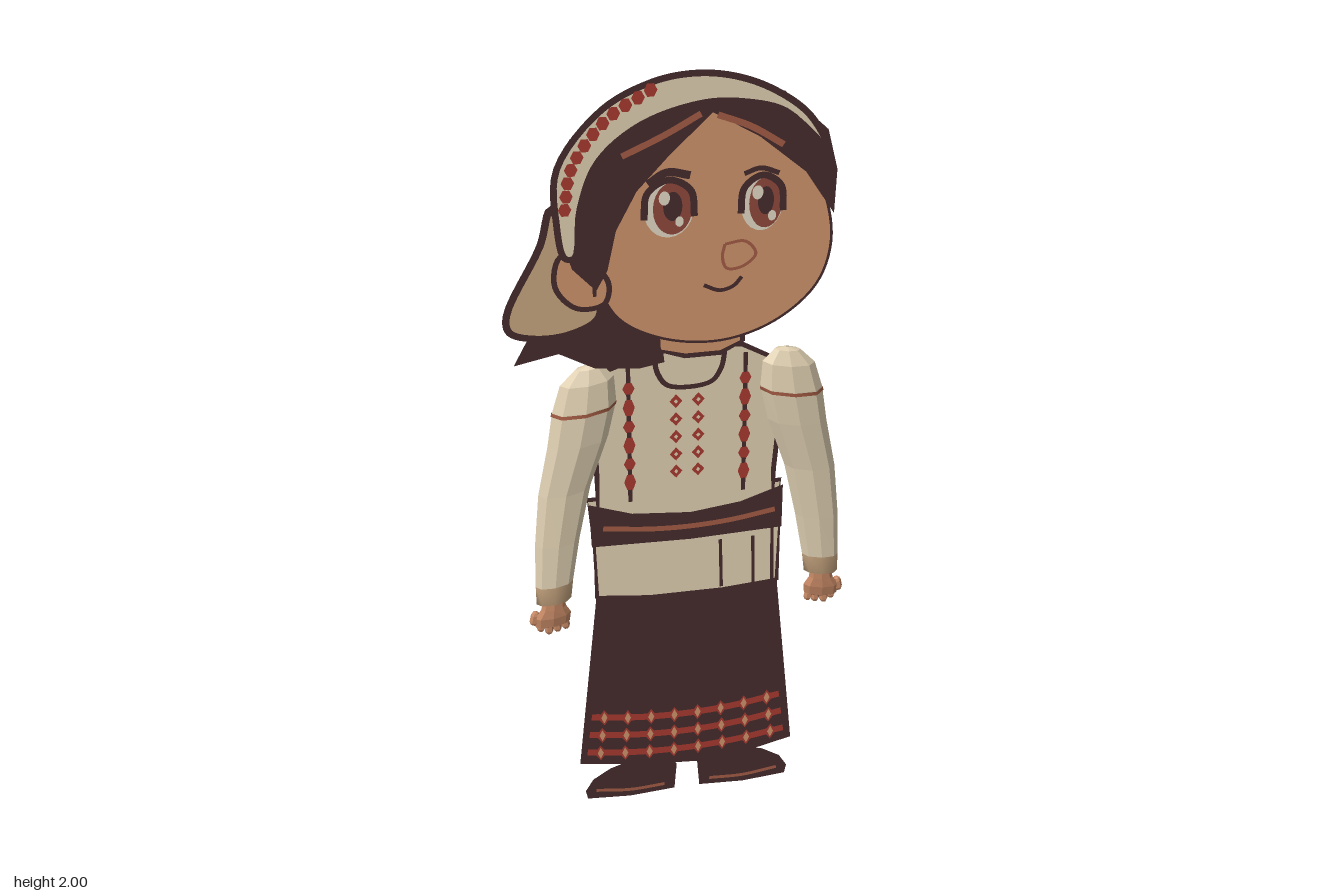
import * as THREE from 'three';

const mat = (name, color, extra = {}) => {
  const m = new THREE.MeshStandardMaterial({ color, side: THREE.DoubleSide, ...extra });
  m.name = name;
  return m;
};

export function createModel() {
  const cream = mat('cream linen', 0xe0d0b2), skin = mat('skin', 0xd0946c), dark = mat('dark brown', 0x452b2d);
  const red = mat('red thread', 0xa83a30), tan = mat('tan scarf', 0xc8a680), white = mat('eye white', 0xe4d9c4);
  const iris = mat('iris brown', 0x90483c), rust = mat('rust trim', 0xa45c44);
  const linen = mat('sleeve linen', 0xe0d0b2, { flatShading: true });
  const handSkin = mat('hand skin', 0xc88a66, { flatShading: true });

  const model = new THREE.Group();
  // Upright paper-thin layers; depth z is given in thousandths
  const flat = new THREE.Group();
  flat.name = 'flatFigure';
  model.add(flat);

  const add = (name, geo, material, depth = 0, parent = flat) => {
    const m = new THREE.Mesh(geo, material);
    m.name = name;
    m.position.z = depth / 1000;
    parent.add(m);
    return m;
  };
  // Points, optionally rounded by a spline
  const trace = (pts, smooth, closed) => {
    if (!smooth) return pts.map(p => new THREE.Vector2(...p));
    const c = new THREE.CatmullRomCurve3(pts.map(p => new THREE.Vector3(p[0], p[1], 0)), closed, 'centripetal');
    const out = c.getPoints(pts.length * 6).map(p => new THREE.Vector2(p.x, p.y));
    if (closed) out.pop();
    return out;
  };
  const meshGeo = (pos, idx) => {
    const g = new THREE.BufferGeometry();
    g.setAttribute('position', new THREE.Float32BufferAttribute(pos, 3));
    g.setIndex(idx);
    g.computeVertexNormals();
    return g;
  };
  const ribbonGeo = (p, width, closed) => {
    const pos = [], idx = [], n = p.length;
    p.forEach((q, i) => {
      const a = closed ? p[(i + n - 1) % n] : p[Math.max(i - 1, 0)];
      const b = closed ? p[(i + 1) % n] : p[Math.min(i + 1, n - 1)];
      const t = b.clone().sub(a).normalize().multiplyScalar(width / 2);
      pos.push(q.x + t.y, q.y - t.x, 0, q.x - t.y, q.y + t.x, 0);
      if (i < n - 1 || closed) {
        const k = 2 * i, l = 2 * ((i + 1) % n);
        idx.push(k, l, k + 1, k + 1, l, l + 1);
      }
    });
    // Outlines run either way round, so keep every ribbon facing +z
    if (closed && THREE.ShapeUtils.area(p) < 0) p.area = -1;
    return meshGeo(pos, idx);
  };
  const line = (name, pts, width, material, depth) => add(name, ribbonGeo(trace(pts, pts.length > 2, false), width, false), material, depth);
  // Flat plate with an optional dark outline
  const plate = (name, pts, material, depth, { smooth = true, edge = 0.012 } = {}) => {
    const p = trace(pts, smooth, true);
    add(name, new THREE.ShapeGeometry(new THREE.Shape(p)), material, depth);
    if (edge) add(name + 'Outline', ribbonGeo(p, edge, true), dark, depth + 0.6);
  };
  const oval = (name, x, y, rx, ry, material, depth, sides = 24) => {
    const m = add(name, new THREE.CircleGeometry(1, sides), material, depth);
    m.scale.set(rx, ry, 1);
    m.position.x = x;
    m.position.y = y;
  };
  const hard = { smooth: false }, hardBare = { smooth: false, edge: 0 };

  // Back hair with a notch for the neck, and side ponytail
  plate('backHair', [[.27, 1.78], [-.19, 1.81], [-.24, 1.85], [-.23, 1.78], [-.24, 1.6], [-.28, 1.45], [-.345, 1.4], [-.38, 1.335],
    [-.28, 1.355], [-.2, 1.31], [-.1, 1.3], [-.045, 1.31], [-.05, 1.36], [-.065, 1.53], [.12, 1.58], [.145, 1.39], [.25, 1.46]], dark, -6, hardBare);
  plate('neck', [[-.07, 1.58], [.14, 1.6], [.13, 1.35], [.08, 1.325], [0, 1.325], [-.06, 1.345]], skin, 1, hard);

  // Head
  plate('face', [[.3, 1.7], [.32, 1.58], [.29, 1.48], [.2, 1.4], [.08, 1.363], [-.05, 1.38], [-.15, 1.44], [-.2, 1.55], [-.235, 1.7],
    [-.21, 1.82], [-.11, 1.905], [.01, 1.93], [.13, 1.91], [.24, 1.83]], skin, 13, { edge: 0.006 });
  plate('hairLeftOfParting', [[.05, 1.905], [-.04, 1.82], [-.11, 1.745], [-.155, 1.66], [-.175, 1.57], [-.2, 1.525], [-.25, 1.58],
    [-.285, 1.7], [-.265, 1.83], [-.18, 1.92], [-.05, 1.965], [.05, 1.955]], dark, 43, hardBare);
  plate('hairRightOfParting', [[.05, 1.905], [.15, 1.845], [.25, 1.76], [.315, 1.66], [.318, 1.76], [.295, 1.85], [.2, 1.94], [.05, 1.965]], dark, 43, hardBare);
  line('hairStrandRight', [[-.14, 1.825], [-.05, 1.865], [.025, 1.905]], .014, rust, 45);
  line('hairStrandLeft', [[.06, 1.9], [.13, 1.87], [.2, 1.825]], .014, rust, 45);

  // Headscarf band, beads and hanging tail
  plate('scarfTail', [[-.285, 1.7], [-.31, 1.62], [-.39, 1.46], [-.385, 1.42], [-.33, 1.4], [-.25, 1.405], [-.19, 1.44], [-.2, 1.55], [-.25, 1.62]], tan, -2, { edge: 0.016 });
  plate('scarfBand', [[-.28, 1.69], [-.275, 1.81], [-.18, 1.93], [-.08, 1.98], [0, 1.993], [.08, 1.985], [.165, 1.953], [.25, 1.89], [.295, 1.81],
    [.2, 1.9], [.12, 1.925], [.03, 1.93], [-.1, 1.893], [-.19, 1.82], [-.23, 1.72], [-.245, 1.61], [-.265, 1.61]], cream, 50, { edge: 0.014 });
  const beadPath = new THREE.CatmullRomCurve3([[-.262, 1.72], [-.245, 1.81], [-.17, 1.91], [-.08, 1.965]].map(p => new THREE.Vector3(...p, 0)));
  beadPath.getSpacedPoints(11).forEach(p => oval('scarfBead', p.x, p.y, .014, .016, red, 52, 6));
  plate('ear', [[-.27, 1.6], [-.285, 1.53], [-.24, 1.475], [-.18, 1.48], [-.17, 1.53], [-.21, 1.58]], skin, 18);
  line('earFold', [[-.24, 1.57], [-.205, 1.54], [-.2, 1.5]], .008, dark, 20);

  // Eyes, brows, nose and mouth
  [[-.04, 1.695, .054, .066], [.16, 1.692, .046, .064]].forEach(([x, y, rx, ry]) => {
    oval('eyeWhite', x, y, rx, ry, white, 30);
    oval('iris', x + .008, y, rx * .78, ry * .9, iris, 31);
    oval('pupil', x + .008, y + .005, rx * .38, ry * .5, dark, 32);
    oval('eyeGlint', x - .01, y + .025, .012, .016, white, 33);
    oval('eyeGlint', x + .022, y - .03, .009, .012, white, 33);
    line('lash', [[x - rx, y - .02], [x - rx * .85, y + ry * .6], [x, y + ry], [x + rx * .85, y + ry * .6], [x + rx, y - .02]], .015, dark, 34);
  });
  line('browRight', [[-.085, 1.755], [-.045, 1.778], [.005, 1.768]], .018, dark, 34);
  line('browLeft', [[.12, 1.762], [.155, 1.772], [.195, 1.758]], .011, dark, 34);
  line('nose', [[.08, 1.605], [.125, 1.608], [.148, 1.577], [.12, 1.55], [.085, 1.548], [.075, 1.575], [.08, 1.605]], .007, rust, 35);
  line('mouth', [[.035, 1.512], [.07, 1.497], [.1, 1.505], [.118, 1.525]], .009, dark, 35);

  // Blouse with embroidery
  plate('blouse', [[-.17, 1.285], [-.06, 1.325], [.1, 1.325], [.14, 1.32], [.2, 1.285], [.235, 1.18], [.22, .98], [.22, .87], [-.2, .87], [-.2, 1], [-.205, 1.18]], cream, -36, hard);
  line('collar', [[-.065, 1.32], [-.055, 1.265], [-.03, 1.232], [.065, 1.232], [.09, 1.265], [.1, 1.325]], .012, dark, -34);
  [-.123, .147].forEach(x => {
    line('embroideryCord', [[x, 1.3], [x, .93]], .01, dark, -34);
    for (let i = 0; i < 6; i++) oval('embroideryBead', x, 1.235 - i * .05, .014, i % 2 ? .024 : .017, red, -33, 6);
  });
  for (let i = 0; i < 5; i++) [-.014, .038].forEach(x => {
    oval('chestStitch', x, 1.19 - i * .047, .015, .018, red, -34, 4);
    oval('chestStitchCentre', x, 1.19 - i * .047, .005, .006, cream, -33, 4);
  });

  // Skirt, apron and belt
  plate('skirt', [[-.215, .85], [-.1, .885], [.1, .885], [.235, .85], [.24, .64], [.29, .135], [.17, .105], [.05, .092], [-.1, .105], [-.265, .135], [-.21, .65]], dark, -45, hardBare);
  plate('apron', [[-.21, .83], [.24, .83], [.238, .652], [.1, .64], [-.08, .642], [-.208, .66]], cream, -42, hard);
  [[.095, .79], [.175, .79], [.222, .81]].forEach(([x, y]) => line('apronFold', [[x, y], [x + .004, .65]], .008, dark, -41));
  plate('belt', [[-.222, .935], [-.12, .898], [.02, .885], [.14, .9], [.243, .935], [.243, .815], [.02, .808], [-.218, .815]], dark, -31, hardBare);
  line('beltTrim', [[-.19, .865], [-.08, .85], [.02, .846], [.12, .852], [.225, .868]], .014, rust, -30);
  plate('waistBack', [[-.222, .935], [.02, .925], [.243, .935], [.235, .865], [.12, .885], [-.1, .885], [-.215, .865]], cream, -54, hard);
  [[.285, .243], [.228, .25], [.17, .257]].forEach(([y, w]) => {
    const sag = u => y - .025 * (1 - u * u);
    line('hemStripe', [-1, -.5, 0, .5, 1].map(u => [.012 + u * w, sag(u)]), .02, red, -44);
    for (let i = 0; i < 8; i++) {
      const u = -.87 + i * .248;
      oval('hemDiamond', .012 + u * w, sag(u), .016, .025, red, -43, 4);
      oval('hemStitch', .012 + u * w, sag(u), .008, .018, skin, -42.5, 4);
    }
  });

  // Trousers behind the skirt, and shoes
  plate('shinLeft', [[.05, .42], [.17, .42], [.17, .12], [.06, .1]], cream, -51, hard);
  plate('legLeft', [[.035, .83], [.12, .85], [.205, .83], [.208, .4], [.18, .355], [.12, .335], [.06, .355], [.04, .4]], cream, -53, hard);
  plate('legRight', [[-.005, .83], [-.09, .85], [-.175, .83], [-.17, .6], [-.155, .38], [-.15, .1], [-.02, .1], [-.015, .4]], cream, -53, hard);
  [-1, 1].forEach(s => {
    const f = pts => pts.map(([x, y]) => [.015 + s * x, y]);
    plate('shoe', f([[.035, .01], [.03, .09], [.06, .12], [.14, .12], [.2, .1], [.245, .07], [.265, .035], [.262, .012], [.15, .003]]), dark, -49, { smooth: false, edge: .006 });
    line('shoeWelt', f([[.06, .026], [.15, .022], [.24, .034]]), .01, rust, -48);
  });

  // Sleeves and hands, from flattened eight-sided rings: [y, x, rx, rz, z]
  const loft = (rings, s) => {
    const pos = [], idx = [], n = 8;
    rings.forEach(([y, x, rx, rz, z], j) => {
      for (let i = 0; i < n; i++) {
        const a = i / n * Math.PI * 2, c = Math.cos(a) * rx;
        pos.push(.0125 + s * x + c, y + s * c * -.12, z + Math.sin(a) * rz);
        if (j < rings.length - 1) {
          const k = j * n + i, l = j * n + (i + 1) % n;
          idx.push(k, l, k + n, l, l + n, k + n);
        }
      }
    });
    return meshGeo(pos, idx);
  };
  [1, -1].forEach(s => {
    const arm = new THREE.Group();
    arm.name = s > 0 ? 'leftArm' : 'rightArm';
    model.add(arm);
    add('sleeve', loft([[1.314, .227, .004, .003, -.018], [1.308, .227, .03, .014, -.018], [1.275, .231, .061, .028, -.018], [1.21, .239, .073, .035, -.018],
      [1.12, .256, .07, .034, -.019], [.99, .291, .061, .03, -.022], [.85, .313, .053, .027, -.02], [.735, .325, .045, .021, -.015]], s), linen, 0, arm);
    add('cuff', loft([[.735, .325, .045, .021, -.015], [.685, .328, .042, .019, -.014], [.683, .328, .003, .002, -.014]], s), tan, 0, arm);
    add('sleeveBand', loft([[1.209, .2395, .0745, .0365, -.018], [1.2, .241, .0745, .0365, -.018]], s), rust, 0, arm);
    add('hand', loft([[.69, .328, .026, .014, -.014], [.665, .33, .03, .015, -.015], [.64, .332, .044, .017, -.018], [.612, .333, .042, .015, -.022], [.602, .333, .004, .003, -.022]], s), handSkin, 0, arm);
    [[.303, .612], [.322, .603], [.342, .601], [.36, .608], [.376, .632]].forEach(([x, y], i) => {
      const f = add(i < 4 ? 'finger' : 'thumb', new THREE.CapsuleGeometry(.0105, .02, 2, 6), handSkin, 0, arm);
      f.position.set(.0125 + s * x, y, -.024 - .004 * (i % 2));
      f.rotation.z = s * (x - .335) * 5;
    });
  });
  return model;
}
